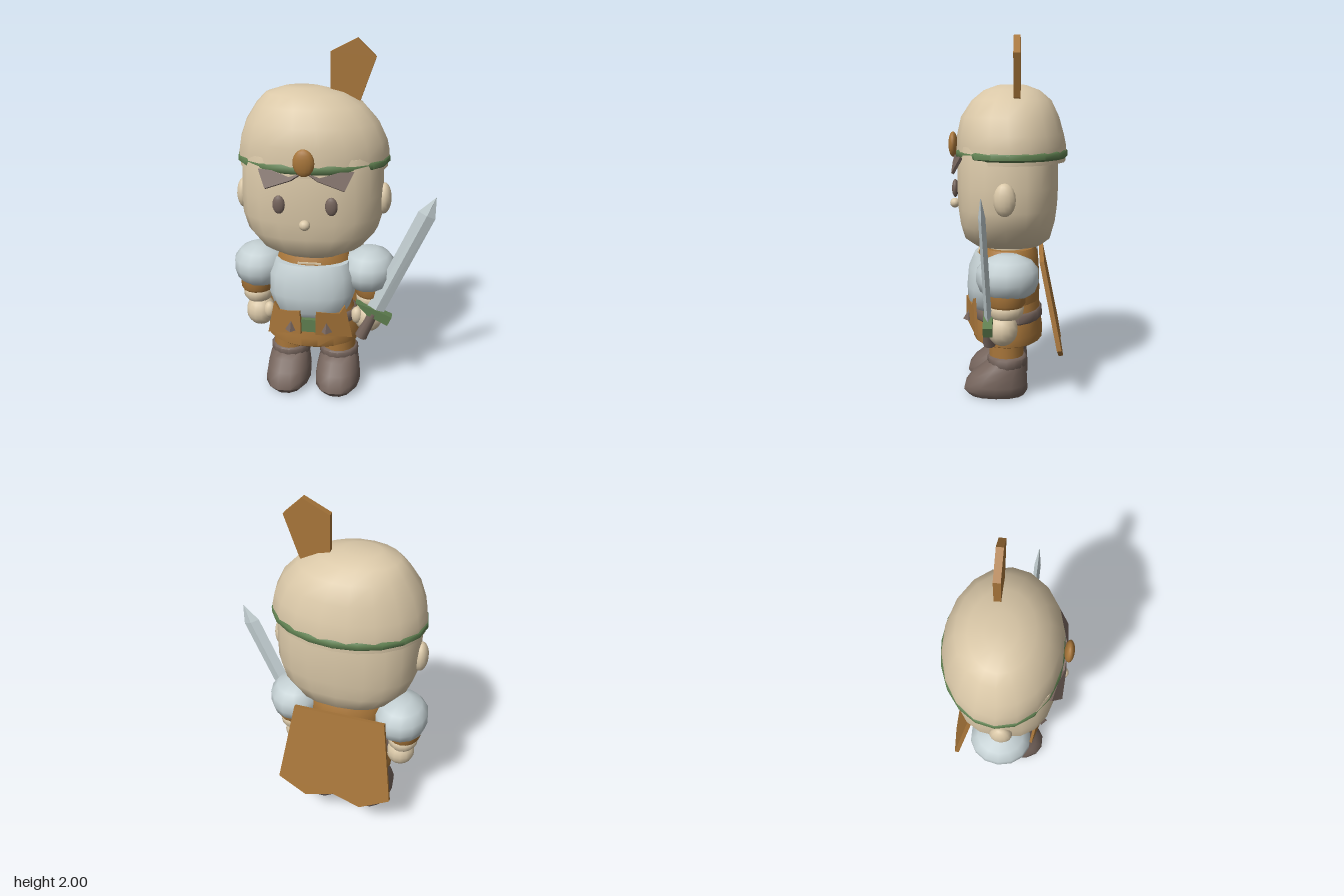
import * as THREE from 'three';
import { toCreasedNormals } from 'three/addons/utils/BufferGeometryUtils.js';

const material = (name, color) => {
  const m = new THREE.MeshStandardMaterial({ color });
  m.name = name;
  return m;
};

// Closed loft of super-ellipse rings: each section is [y, rx, rz, centreZ, centreX]
function loft(sections, n = 16, power = 2) {
  const pos = [], index = [];
  const bend = v => Math.sign(v) * Math.abs(v) ** (2 / power);
  for (const [y, rx, rz, cz = 0, cx = 0] of sections)
    for (let i = 0; i < n; i++) {
      const a = (i / n) * Math.PI * 2;
      pos.push(cx + rx * bend(Math.cos(a)), y, cz + rz * bend(Math.sin(a)));
    }
  const last = sections.length - 1;
  for (let j = 0; j < last; j++)
    for (let i = 0; i < n; i++) {
      const a = j * n + i, b = j * n + (i + 1) % n;
      index.push(a, a + n, b, b, a + n, b + n);
    }
  for (const j of [0, last]) {
    const [y, , , cz = 0, cx = 0] = sections[j];
    const c = pos.length / 3;
    pos.push(cx, y, cz);
    for (let i = 0; i < n; i++) {
      const a = j * n + i, b = j * n + (i + 1) % n;
      index.push(c, ...(j ? [b, a] : [a, b]));
    }
  }
  const g = new THREE.BufferGeometry();
  g.setAttribute('position', new THREE.Float32BufferAttribute(pos, 3));
  g.setIndex(index);
  return toCreasedNormals(g, 0.85);
}

const ball = (rx, ry, rz, w = 14, h = 10) => new THREE.SphereGeometry(1, w, h).scale(rx, ry, rz);

// Flat plate cut from an outline, centred on z = 0
function plate(points, depth) {
  const shape = new THREE.Shape(points.map(p => new THREE.Vector2(...p)));
  return new THREE.ExtrudeGeometry(shape, { depth, bevelEnabled: false }).translate(0, 0, -depth / 2);
}

export function createModel() {
  const skin = material('cream', 0xdac8a8);
  const leather = material('tan leather', 0xa8763a);
  const steel = material('pale steel', 0xc4d0d3);
  const dark = material('dark brown', 0x75645c);
  const green = material('moss green', 0x5f7f50);

  const model = new THREE.Group();
  model.name = 'littleKnight';
  const body = new THREE.Group();
  body.name = 'figure';
  body.position.x = -0.105;
  model.add(body);
  const add = (name, geometry, mat, x = 0, y = 0, z = 0, parent = body) => {
    const m = new THREE.Mesh(geometry, mat);
    m.name = name;
    m.position.set(x, y, z);
    parent.add(m);
    return m;
  };

  // Head and face
  add('head', loft([
    [0.855, 0.19, 0.19], [0.9, 0.285, 0.245], [0.985, 0.36, 0.268], [1.08, 0.388, 0.28],
    [1.2, 0.39, 0.285], [1.34, 0.385, 0.283, 0], [1.42, 0.37, 0.27]], 20, 2.5), skin);
  add('nose', ball(0.03, 0.028, 0.028), skin, 0, 1.085, 0.305);

  // Cap with its rim, band and ornament
  add('cap', loft([
    [1.375, 0.413, 0.31, -0.02], [1.42, 0.412, 0.308, -0.02], [1.48, 0.4, 0.3, -0.015],
    [1.575, 0.36, 0.276, -0.012, -0.005], [1.665, 0.29, 0.225, -0.02, -0.018],
    [1.72, 0.21, 0.16, -0.02, -0.045], [1.75, 0.1, 0.08, -0.02, -0.06]], 18), skin);
  add('capRim', loft([[1.33, 0.405, 0.305, -0.02], [1.36, 0.405, 0.305, -0.02]], 20), skin);
  add('capBand', loft([
    [1.35, 0.405, 0.306, -0.02], [1.36, 0.418, 0.316, -0.02],
    [1.385, 0.418, 0.316, -0.02], [1.397, 0.405, 0.306, -0.02]], 20), green);
  add('capGem', ball(0.056, 0.072, 0.026), leather, 0, 1.42, 0.312);
  add('plume', plate([[0.09, 1.64], [0.09, 1.93], [0.23, 2.0], [0.33, 1.905], [0.25, 1.68], [0.2, 1.6]], 0.036),
    leather, 0, 0, -0.055);

  // Neck, vest and breastplate
  add('neck', loft([[0.78, 0.15, 0.13], [0.88, 0.15, 0.13]]), skin);
  add('vest', loft([
    [0.48, 0.215, 0.18], [0.6, 0.225, 0.185], [0.74, 0.225, 0.18],
    [0.8, 0.215, 0.172], [0.838, 0.19, 0.155]], 18), leather);
  add('breastplate', loft([
    [0.49, 0.175, 0.12, 0.08], [0.53, 0.215, 0.145, 0.085], [0.62, 0.245, 0.155, 0.08],
    [0.73, 0.24, 0.15, 0.075], [0.8, 0.21, 0.125, 0.07]], 18, 2.3), steel);
  add('neckTrim', new THREE.BoxGeometry(0.13, 0.009, 0.008), skin, 0, 0.812, 0.168);

  // Skirt and belt
  add('skirt', loft([
    [0.302, 0.25, 0.19], [0.31, 0.268, 0.2], [0.36, 0.273, 0.203],
    [0.43, 0.255, 0.192], [0.54, 0.215, 0.182]], 18), leather);
  add('belt', loft([[0.43, 0.252, 0.196], [0.44, 0.26, 0.202], [0.478, 0.25, 0.198], [0.488, 0.238, 0.19]], 18), dark);
  add('buckle', new THREE.BoxGeometry(0.085, 0.075, 0.03), green, 0, 0.458, 0.215);

  // Paired parts, mirrored from side to side
  for (const s of [-1, 1]) {
    const side = s > 0 ? 'left' : 'right';
    const flip = pts => pts.map(([x, y]) => [s * x, y]);

    add(side + 'Ear', ball(0.042, 0.088, 0.06), skin, s * 0.39, 1.155, 0.005);
    add(side + 'Eye', ball(0.033, 0.05, 0.018), dark, s * 0.138, 1.187, 0.287);

    // Pointed ribbon under the cap band
    const ribbon = add(side + 'Ribbon', plate(flip(
      [[0, 0.03], [0.07, 0.01], [0.165, 0.045], [0.245, 0.055], [0.2, -0.05], [0.06, -0.008]]), 0.016),
    dark, s * 0.01, 1.335, 0.308);
    ribbon.rotation.set(-0.45, s * 0.2, 0);

    // Arm
    add(side + 'ShoulderPad', loft([
      [0.63, 0.105, 0.12], [0.655, 0.138, 0.15], [0.71, 0.153, 0.172], [0.77, 0.152, 0.17],
      [0.82, 0.115, 0.13], [0.85, 0.05, 0.06]], 14), steel, s * 0.312, 0, -0.008);
    add(side + 'ArmBand', loft([[0.575, 0.088, 0.094], [0.59, 0.097, 0.104], [0.65, 0.097, 0.104]]), leather, s * 0.335);
    add(side + 'Sleeve', loft([[0.51, 0.07, 0.078], [0.53, 0.085, 0.092], [0.565, 0.088, 0.097], [0.58, 0.08, 0.088]]),
      skin, s * 0.332);
    add(side + 'Hand', ball(0.085, 0.092, 0.085), skin, s * 0.318, 0.437, 0.02);
    add(side + 'Thumb', ball(0.035, 0.05, 0.035), skin, s * 0.255, 0.46, 0.065);

    // Skirt flap with a small stud
    const flap = add(side + 'SkirtFlap', plate(flip(
      [[-0.1, 0.08], [-0.105, 0.0], [-0.105, -0.06], [0.105, -0.095], [0.062, 0.105], [0.03, 0.06]]), 0.016),
    leather, s * 0.14, 0.47, 0.2);
    flap.rotation.y = s * 0.32;
    const stud = add(side + 'FlapStud', new THREE.ConeGeometry(0.034, 0.055, 4).toNonIndexed(), dark, s * 0.1, 0.452, 0.222);
    stud.geometry.computeVertexNormals();

    // Leg and boot
    add(side + 'Leg', new THREE.CylinderGeometry(0.098, 0.098, 0.16, 16), leather, s * 0.145, 0.27, 0.005);
    add(side + 'BootCuff', loft([
      [0.165, 0.105, 0.1], [0.18, 0.115, 0.112], [0.225, 0.115, 0.112], [0.236, 0.105, 0.1]]), dark, s * 0.145);
    add(side + 'Boot', loft([
      [0, 0.1, 0.16, 0.06], [0.035, 0.13, 0.185, 0.065], [0.07, 0.132, 0.18, 0.062],
      [0.12, 0.126, 0.16, 0.045], [0.17, 0.115, 0.125, 0.015], [0.2, 0.105, 0.105, 0]], 14, 2.3), dark, s * 0.147);
  }

  // Shield slung across the back
  const shield = add('backShield', plate([
    [-0.26, 0], [-0.335, -0.49], [-0.165, -0.58], [0, -0.53], [0.165, -0.58], [0.335, -0.49], [0.26, 0]], 0.025),
  leather, 0, 0.8, -0.192);
  shield.rotation.x = 0.2;

  // Sword held in the left hand, built upright and then leaned outwards
  const sword = new THREE.Group();
  sword.name = 'sword';
  sword.position.set(0.355, 0.5, 0.095);
  sword.rotation.set(0.02, 0, -0.424);
  body.add(sword);
  const blade = loft([
    [0, 0.05, 0.02], [0.66, 0.05, 0.018], [0.77, 0.002, 0.002]], 4).toNonIndexed();
  blade.computeVertexNormals();
  add('blade', blade, steel, 0, 0, 0, sword);
  add('guard', plate([
    [-0.12, 0.015], [-0.03, 0.025], [0.1, 0.028], [0.1, -0.032], [-0.03, -0.025]], 0.05),
  green, 0, 0, 0, sword);
  add('grip', new THREE.CylinderGeometry(0.028, 0.036, 0.17, 10), dark, 0, -0.09, 0, sword);

  return model;
}
